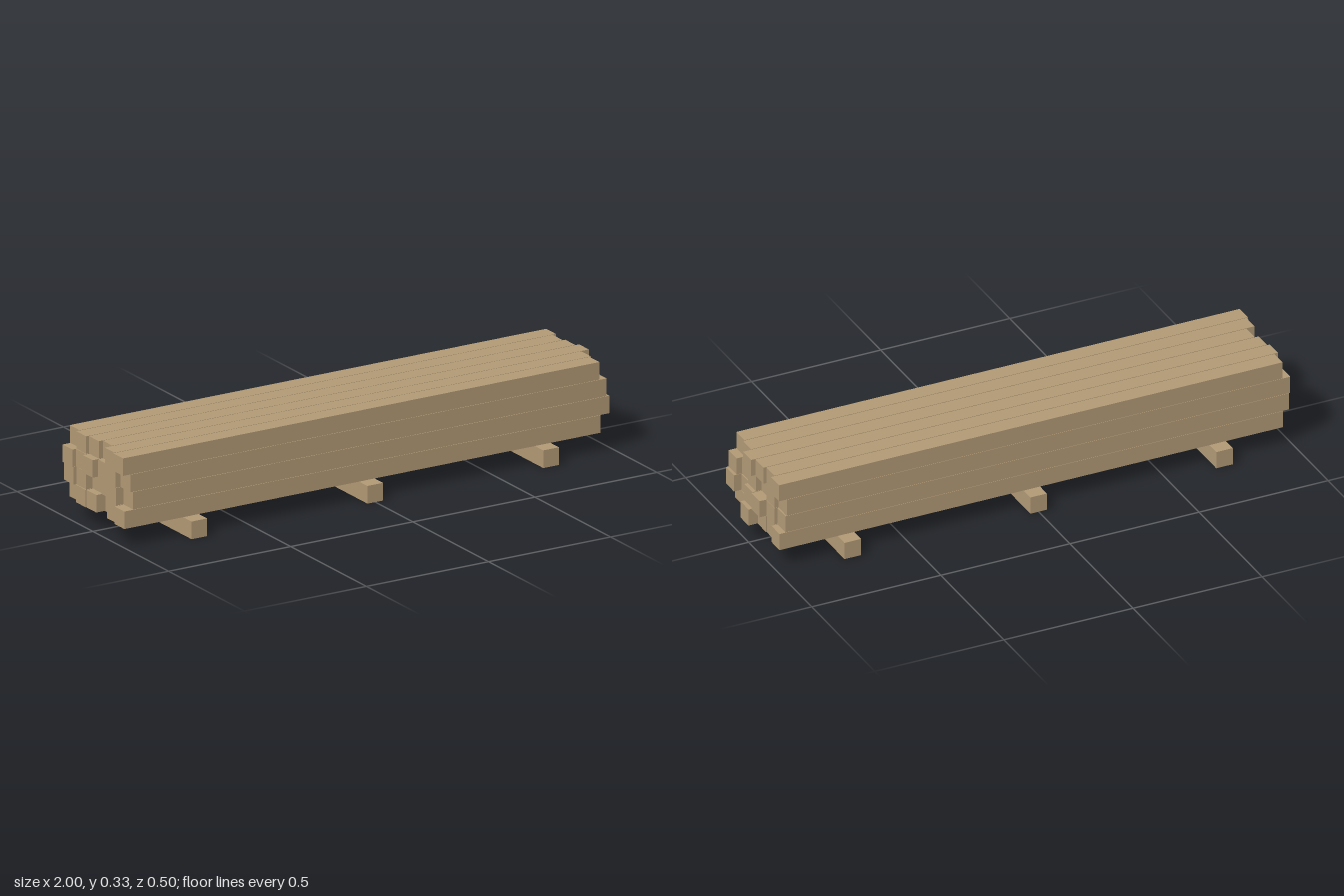
import * as THREE from 'three';

export function createModel() {
  const group = new THREE.Group();
  const wood = new THREE.MeshStandardMaterial({ color: 0xb09874 });
  wood.name = 'wood';

  const add = (name, w, h, d, x, y, z) => {
    const mesh = new THREE.Mesh(new THREE.BoxGeometry(w, h, d), wood);
    mesh.name = name;
    mesh.position.set(x, y, z);
    group.add(mesh);
  };

  // Three cross bearers under the stack
  for (const x of [-0.72, 0, 0.72]) add('bearer', 0.064, 0.065, 0.504, x, 0.0325, 0);

  // Lengthwise slip of each beam: rows from bottom to top, columns from front to back
  const slips = [
    [-0.02, -0.01, 0.025, -0.01, -0.012, 0.003],
    [0.016, -0.012, 0.01, 0.015, -0.01, -0.02],
    [0.005, -0.015, -0.004, -0.025, -0.011, -0.025],
    [-0.025, -0.018, 0.015, 0.0, -0.01, 0.005],
  ];

  // Stacked beams
  slips.forEach((row, r) => row.forEach((slip, c) =>
    add('beam', 1.95, 0.0645, 0.0645, slip, 0.0985 + r * 0.0655, 0.1675 - c * 0.067)));

  return group;
}
